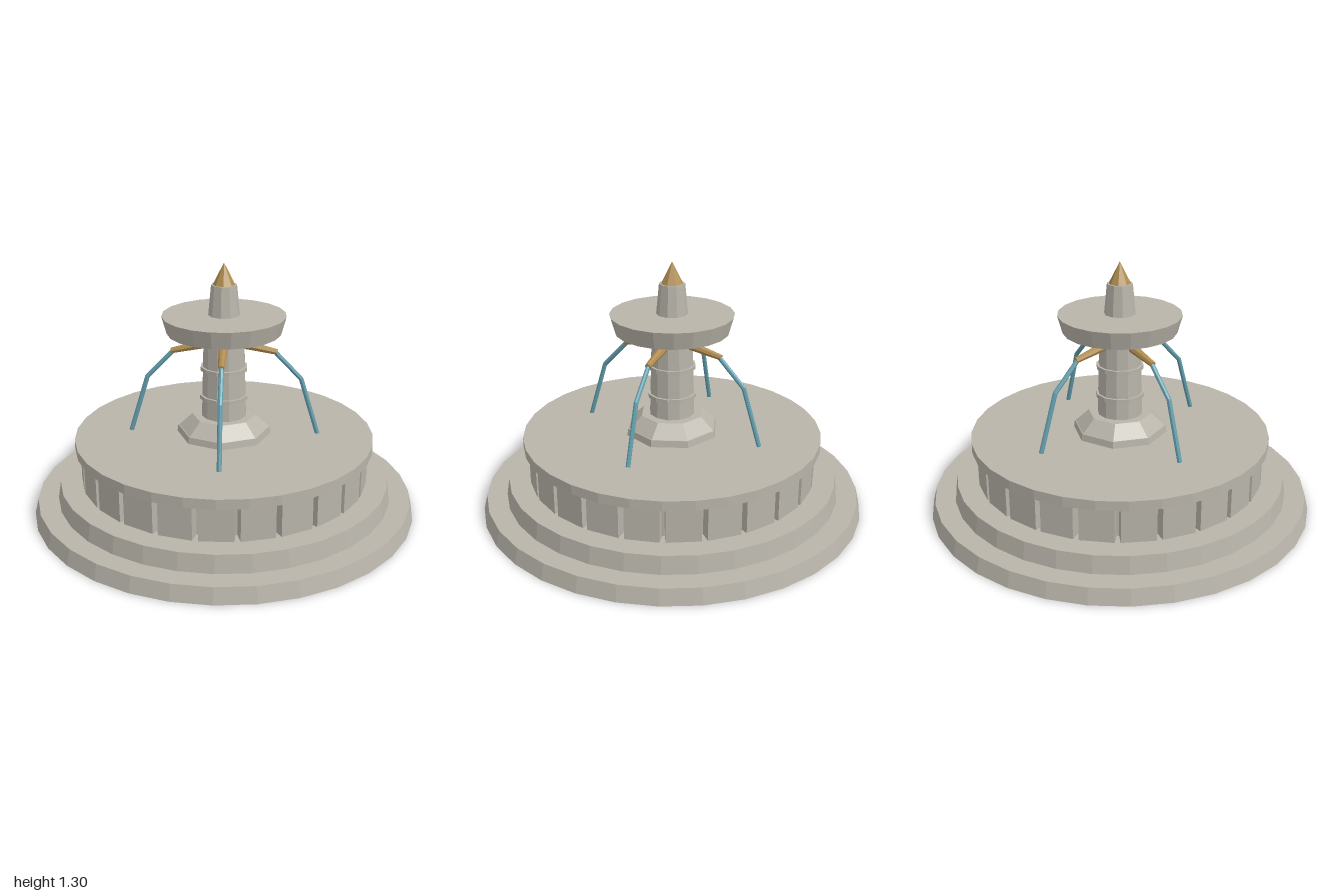
import * as THREE from 'three';

export function createModel() {
  const root = new THREE.Group();
  root.name = 'fountain';

  const flat = (name, color) => {
    const m = new THREE.MeshStandardMaterial({ color, flatShading: true });
    m.name = name;
    return m;
  };
  const stone = flat('stone', 0xb8b4aa);
  const brass = flat('brass', 0xb08d50);
  const water = flat('water', 0x64a0ae);

  const add = (name, geometry, material, parent = root) => {
    const mesh = new THREE.Mesh(geometry, material);
    mesh.name = name;
    parent.add(mesh);
    return mesh;
  };

  // Upright round part from y0 to y1
  const drum = (name, y0, y1, r0, r1, sides, material = stone) => {
    const mesh = add(name, new THREE.CylinderGeometry(r1, r0, y1 - y0, sides), material);
    mesh.position.y = (y0 + y1) / 2;
    return mesh;
  };

  // Straight rod between two points [x, y], in the plane z = 0
  const rod = (name, a, b, ra, rb, material, parent) => {
    const p = new THREE.Vector3(a[0], a[1], 0);
    const q = new THREE.Vector3(b[0], b[1], 0);
    const mesh = add(name, new THREE.CylinderGeometry(rb, ra, p.distanceTo(q), 8), material, parent);
    mesh.position.copy(p).add(q).multiplyScalar(0.5);
    mesh.quaternion.setFromUnitVectors(new THREE.Vector3(0, 1, 0), q.sub(p).normalize());
  };

  // Stepped base and basin
  drum('lowerStep', 0, 0.08, 1.0, 0.98, 32);
  drum('upperStep', 0.08, 0.17, 0.875, 0.86, 32);
  drum('basinCore', 0.17, 0.35, 0.69, 0.69, 32);
  drum('basinRim', 0.35, 0.4, 0.775, 0.775, 32);

  // Ring of blocks around the basin
  const blocks = new THREE.Group();
  blocks.name = 'basinBlocks';
  root.add(blocks);
  const blockGeometry = new THREE.BoxGeometry(0.168, 0.18, 0.08);
  for (let i = 0; i < 24; i++) {
    const a = (i / 24) * Math.PI * 2;
    const block = add('basinBlock', blockGeometry, stone, blocks);
    block.position.set(Math.sin(a) * 0.705, 0.26, Math.cos(a) * 0.705);
    block.rotation.y = a;
  }

  // Pedestal and column
  drum('pedestalFoot', 0.4, 0.435, 0.245, 0.24, 8);
  drum('pedestalSlope', 0.435, 0.5, 0.235, 0.165, 8);
  drum('column', 0.5, 0.945, 0.117, 0.105, 12);
  for (const [y, r] of [[0.605, 0.126], [0.757, 0.122], [0.9, 0.115]]) {
    drum('columnRing', y - 0.01, y + 0.01, r, r, 12);
  }

  // Upper bowl, spire and finial
  drum('upperBowl', 0.945, 1.035, 0.29, 0.315, 20);
  drum('spire', 1.035, 1.19, 0.08, 0.065, 10);
  drum('finial', 1.19, 1.3, 0.056, 0, 8, brass);

  // Four spouts with falling jets, on the diagonals
  for (let i = 0; i < 4; i++) {
    const jet = new THREE.Group();
    jet.name = 'spoutAndJet';
    jet.rotation.y = Math.PI / 4 + (i * Math.PI) / 2;
    root.add(jet);
    rod('spout', [0.08, 0.885], [0.27, 0.842], 0.025, 0.015, brass, jet);
    const path = [[0.26, 0.842], [0.395, 0.7], [0.487, 0.4]];
    for (let k = 0; k < 2; k++) rod('waterJet', path[k], path[k + 1], 0.012, 0.012, water, jet);
    add('waterBend', new THREE.SphereGeometry(0.012, 8, 6), water, jet).position.set(0.395, 0.7, 0);
  }

  return root;
}
